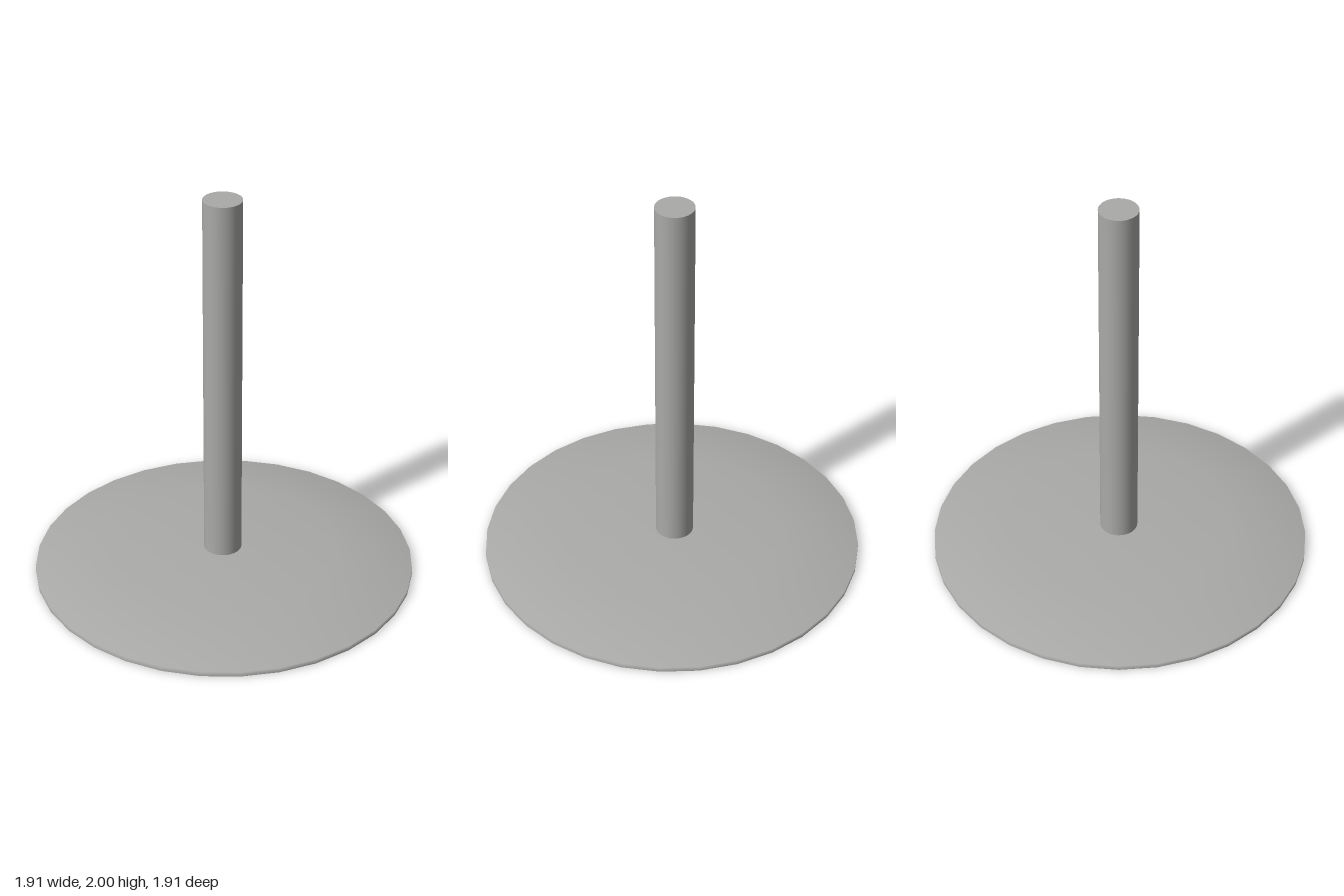
import * as THREE from 'three';

export function createModel() {
  const group = new THREE.Group();
  const grey = new THREE.MeshStandardMaterial({ color: 0xaaaba8 });
  grey.name = 'grey';
  const segments = 32;

  const add = (name, geometry, x, y, z) => {
    const mesh = new THREE.Mesh(geometry, grey);
    mesh.name = name;
    mesh.position.set(x, y, z);
    group.add(mesh);
    return mesh;
  };

  // Round base: short rim, shallow bevel and flat top, smoothly shaded
  const profile = [[0.955, 0], [0.955, 0.025], [0.57, 0.095], [0, 0.095]]
    .map(([r, y]) => new THREE.Vector2(r, y));
  add('base', new THREE.LatheGeometry(profile, segments), 0, 0, 0);

  // Flat underside closing the base
  const underside = new THREE.CircleGeometry(0.955, segments).rotateX(Math.PI / 2);
  add('baseUnderside', underside, 0, 0, 0);

  // Upright pole, set very slightly off the middle
  const bottom = 0.09, top = 2;
  add('pole', new THREE.CylinderGeometry(0.095, 0.095, top - bottom, segments),
    -0.01, (top + bottom) / 2, -0.01);

  return group;
}
